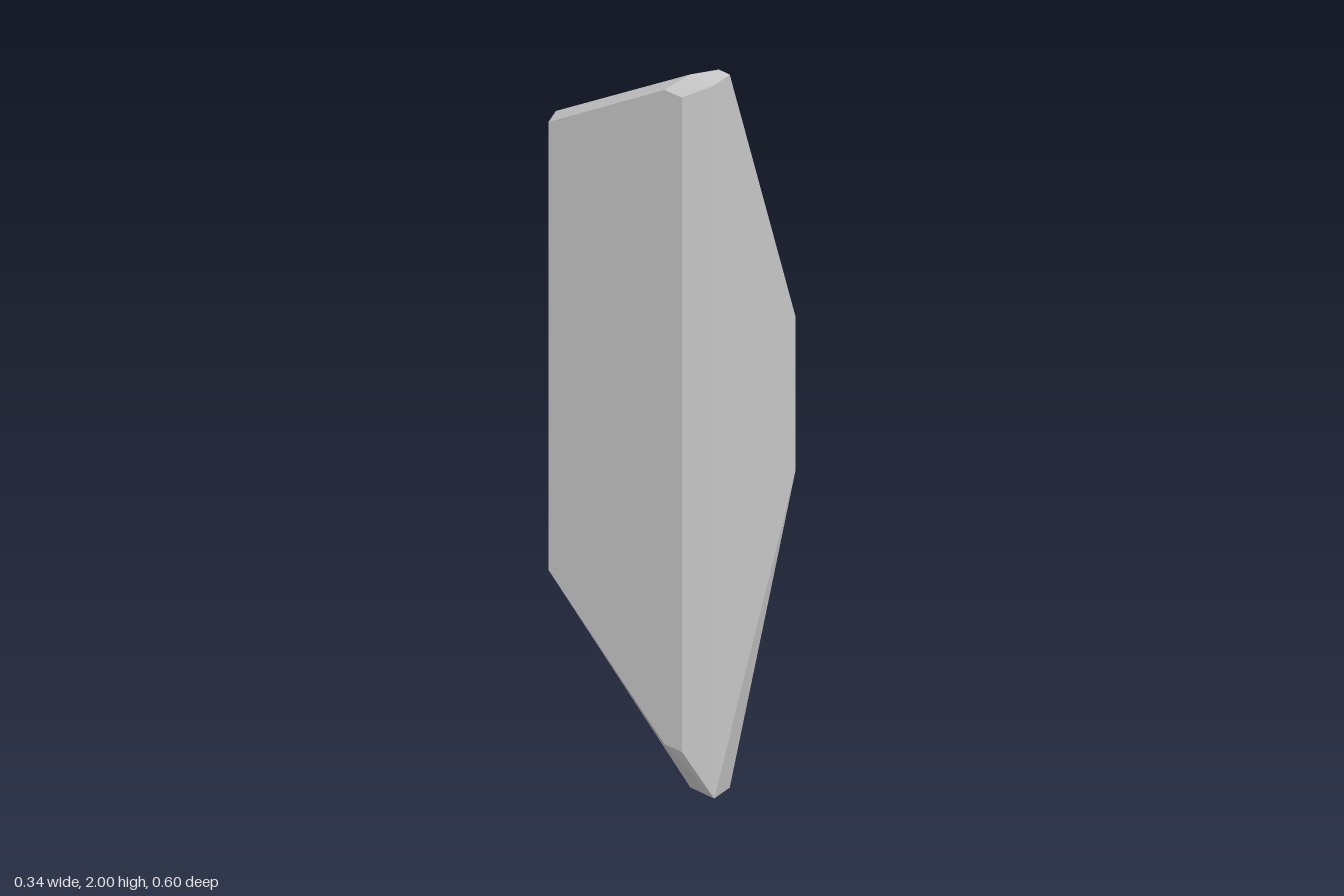
import * as THREE from 'three';
import { ConvexGeometry } from 'three/addons/geometries/ConvexGeometry.js';

// Corner rings of the faceted shard: each [x, z] corner occurs at a low and a high y
const RINGS = [
  // end facets
  { low: 0, high: 2, corners: [[-0.111, 0.3], [-0.111, 0.209], [-0.037, 0.24], [-0.037, 0.277]] },
  // bevels around the ends
  { low: 0.12, high: 1.955, corners: [[-0.158, 0.163], [-0.156, 0.227], [0.028, 0.163]] },
  // back belt
  { low: 0.466, high: 1.722, corners: [[-0.17, -0.265], [-0.111, -0.302], [0.12, -0.07]] },
  // left front belt
  { low: 0.835, high: 1.265, corners: [[0.168, 0.208], [0.168, 0.3]] },
];

export function createModel() {
  const points = [];
  for (const { low, high, corners } of RINGS) {
    for (const [x, z] of corners) {
      points.push(new THREE.Vector3(x, low, z), new THREE.Vector3(x, high, z));
    }
  }

  const material = new THREE.MeshStandardMaterial({ color: 0xcccccc, flatShading: true });
  const shard = new THREE.Mesh(new ConvexGeometry(points), material);
  shard.name = 'crystalShard';

  const model = new THREE.Group();
  model.name = 'crystal';
  model.add(shard);
  return model;
}
